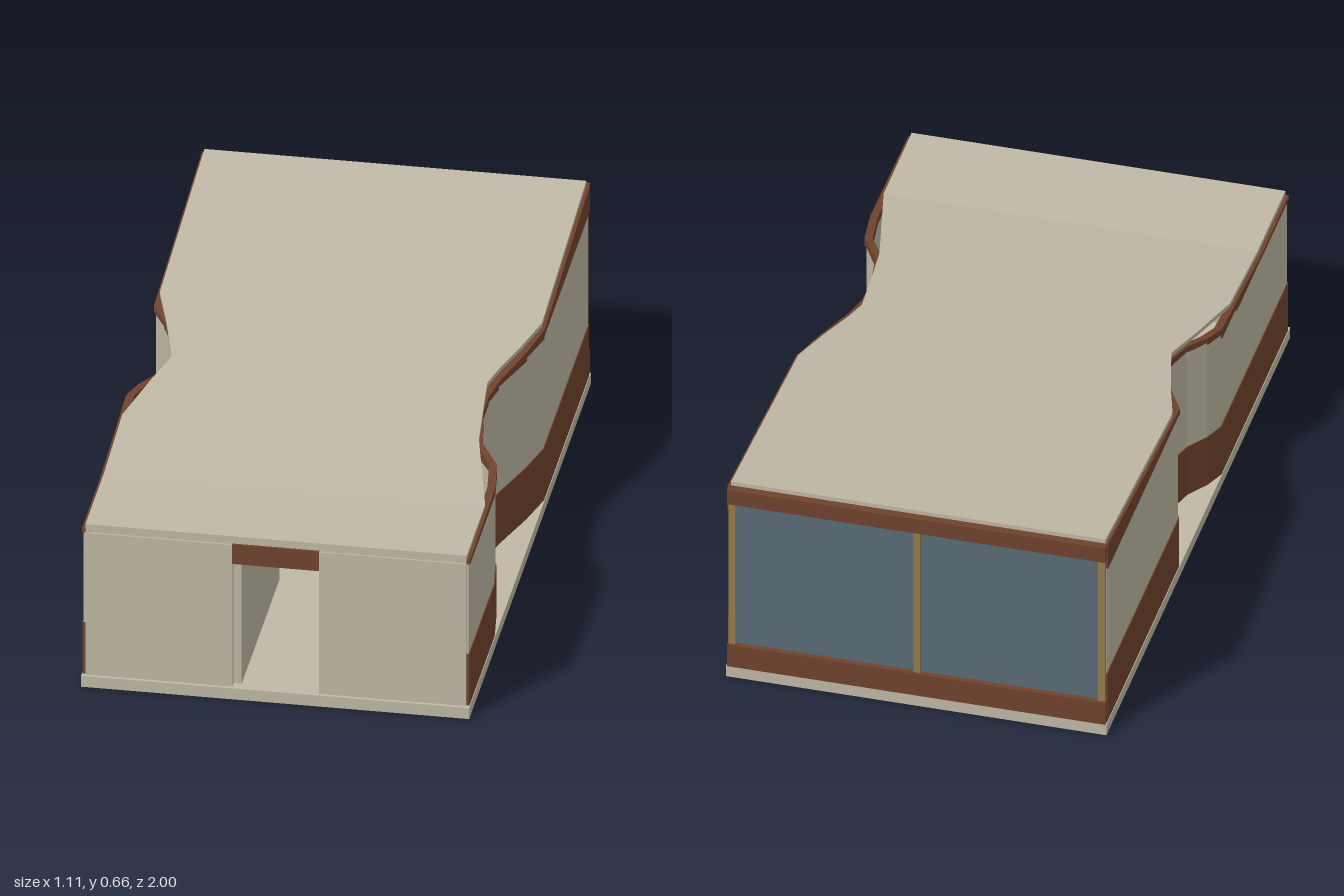
import * as THREE from 'three';

const mat = (name, color) => Object.assign(new THREE.MeshStandardMaterial({ color }), { name });

export function createModel() {
  const concrete = mat('concrete', 0xc0b8a5);
  const timber = mat('brownTimber', 0x70432d);
  const glass = mat('glass', 0x5a6b75);
  const brass = mat('brassFrame', 0x937c4e);
  const house = new THREE.Group();
  house.name = 'house';

  const add = (name, geometry, material) => {
    const mesh = new THREE.Mesh(geometry, material);
    mesh.name = name;
    house.add(mesh);
    return mesh;
  };
  // Box given by its limits on each axis
  const box = (name, material, x0, x1, y0, y1, z0, z1) => {
    const g = new THREE.BoxGeometry(x1 - x0, y1 - y0, z1 - z0);
    g.translate((x0 + x1) / 2, (y0 + y1) / 2, (z0 + z1) / 2);
    return add(name, g, material);
  };
  // Solid through four-cornered cross-sections running from front to back;
  // corners go counter-clockwise as seen from the front
  const loft = (name, material, rings) => {
    const pos = [];
    const quad = (a, b, c, d) => [a, b, c, a, c, d].forEach((p) => pos.push(...p));
    for (let i = 0; i < rings.length - 1; i++) {
      for (let k = 0; k < 4; k++) {
        const n = (k + 1) % 4;
        quad(rings[i][k], rings[i + 1][k], rings[i + 1][n], rings[i][n]);
      }
    }
    quad(...rings[0]);
    quad(...rings[rings.length - 1].slice().reverse());
    const g = new THREE.BufferGeometry();
    g.setAttribute('position', new THREE.Float32BufferAttribute(pos, 3));
    g.computeVertexNormals();
    return add(name, g, material);
  };
  const section = (x0, x1, y0, y1, z) => [[x0, y0, z], [x1, y0, z], [x1, y1, z], [x0, y1, z]];

  // Level of the roof top: flat at the front, then rising to the back
  const roofTop = (z) => 0.515 + Math.max(0, 0.68 - z) * 0.0879;
  const roofDepth = 0.013;

  // Base slab
  box('baseSlab', concrete, -0.555, 0.555, 0, 0.035, -1, 1);

  // Roof with pinched sides: z, right edge, left edge
  const roofPlan = [
    [0.98, -0.545, 0.545], [0.68, -0.545, 0.545], [0.38, -0.545, 0.476], [0.35, -0.537, 0.47],
    [0.2, -0.497, 0.456], [0.07, -0.458, 0.445], [0, -0.475, 0.464], [-0.12, -0.507, 0.506],
    [-0.25, -0.547, 0.545], [-0.98, -0.547, 0.545],
  ];
  loft('roof', concrete, roofPlan.map(([z, a, b]) => section(a, b, roofTop(z) - roofDepth, roofTop(z), z)));
  box('roofFascia', concrete, -0.545, 0.545, 0.49, 0.515, 0.975, 0.985);

  // Curved side walls: z, distance from the middle, top of the pale panel behind that point
  const leftPlan = [
    [0.985, 0.55, 0.488], [0.57, 0.55, 0.488], [0.455, 0.535, 0.497], [0.35, 0.475, 0.508],
    [0.2, 0.452, 0.525], [0.12, 0.452, 0.532], [0.04, 0.468, 0.542], [-0.12, 0.52, 0.553],
    [-0.24, 0.55, 0.563], [-0.982, 0.55, 0.563],
  ];
  const rightPlan = [
    [0.985, 0.55, 0.488], [0.68, 0.55, 0.49], [0.42, 0.55, 0.505], [0.26, 0.55, 0.52],
    [0.2, 0.525, 0.528], [0.14, 0.483, 0.533], [0.05, 0.455, 0.542], [-0.04, 0.472, 0.55],
    [-0.12, 0.507, 0.556], [-0.2, 0.55, 0.563], [-0.982, 0.55, 0.563],
  ];
  const thick = 0.018;
  for (const [side, s, plan] of [['left', 1, leftPlan], ['right', -1, rightPlan]]) {
    // Each point is used twice, so that the panel top climbs in steps
    const stations = plan.slice(0, -1).flatMap(([z, x, top], i) => [
      { z, x, top }, { z: plan[i + 1][0], x: plan[i + 1][1], top },
    ]);
    const band = (name, material, out, low, high) => loft(side + name, material, stations.map((p) => {
      const a = s * (p.x + out), b = s * (p.x - thick);
      return section(Math.min(a, b), Math.max(a, b), low(p), high(p), p.z);
    }));
    band('WallBase', timber, 0.003, () => 0.035, () => 0.2);
    band('WallPanel', concrete, 0, () => 0.2, (p) => p.top);
    band('WallTopBand', timber, 0.005, (p) => p.top, (p) => roofTop(p.z) - roofDepth - 0.001);
  }

  // Front wall with a tall doorway
  for (const s of [-1, 1]) {
    const xs = [s * 0.124, s * 0.544].sort((a, b) => a - b);
    box('frontWall', concrete, xs[0], xs[1], 0.035, 0.49, 0.968, 0.99);
  }
  box('doorLintel', timber, -0.124, 0.124, 0.43, 0.492, 0.97, 0.992);

  // Back wall: glass between timber bands, with upright frames
  box('backGlass', glass, -0.54, 0.54, 0.105, 0.605, -0.984, -0.976);
  box('backSill', timber, -0.552, 0.552, 0.035, 0.11, -1, -0.972);
  box('backHeader', timber, -0.552, 0.552, 0.595, 0.645, -1, -0.972);
  for (const x of [-0.539, 0, 0.539]) {
    box('backMullion', brass, x - 0.01, x + 0.01, 0.11, 0.6, -0.993, -0.968);
  }

  // Inside: hall wall, counter and round table
  box('hallWall', concrete, -0.125, -0.101, 0.035, 0.48, 0.35, 0.968);
  box('counter', concrete, 0.075, 0.3, 0.035, 0.145, 0.1, 0.45);
  box('counterTop', timber, 0.05, 0.32, 0.145, 0.155, 0.08, 0.47);
  const tableTop = add('tableTop', new THREE.CylinderGeometry(0.11, 0.11, 0.009, 24), timber);
  tableTop.position.set(0.005, 0.157, -0.3);
  box('tableLeg', brass, -0.1, -0.088, 0.035, 0.153, -0.306, -0.294);
  box('tableLeg', brass, 0.088, 0.1, 0.035, 0.153, -0.306, -0.294);

  return house;
}
